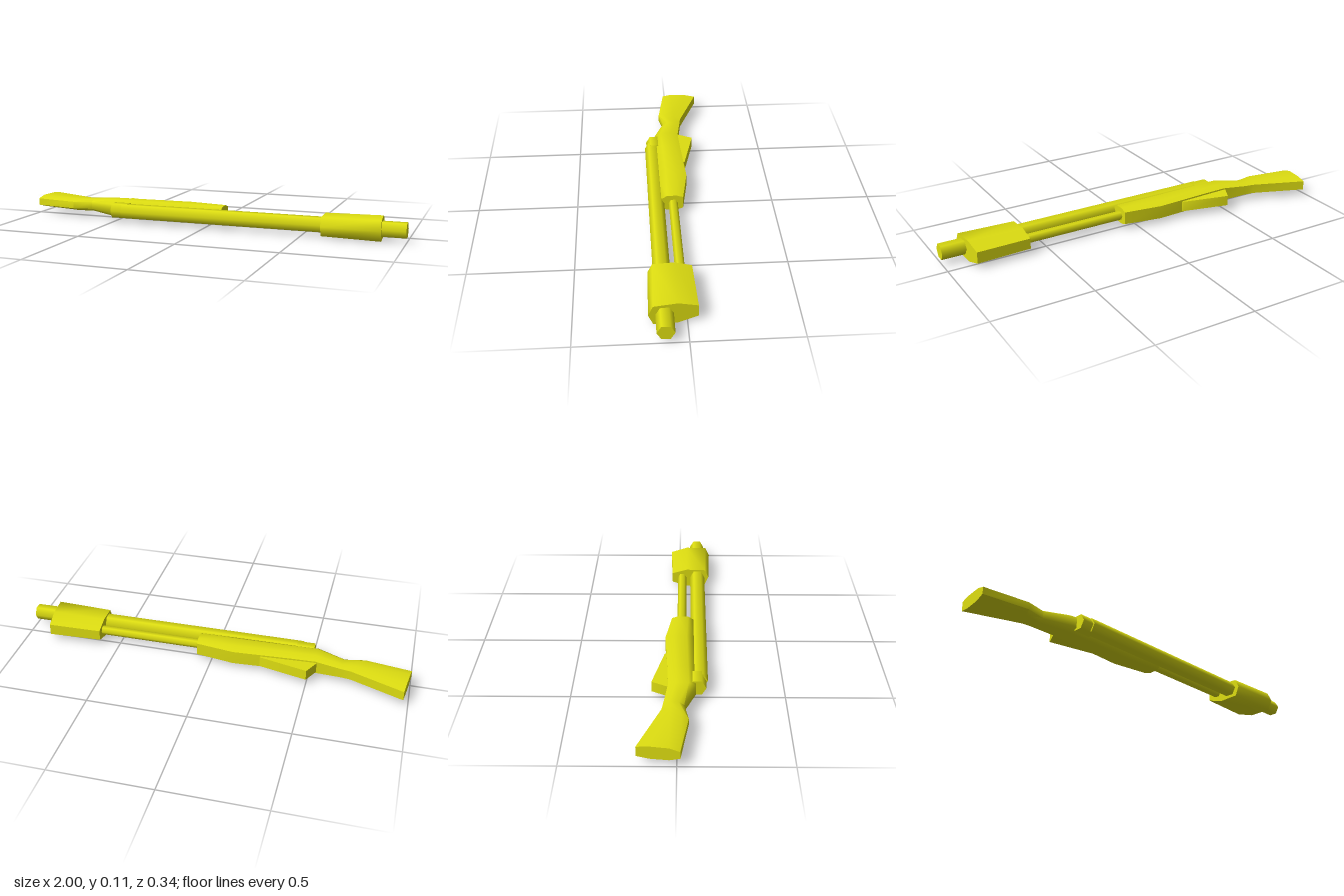
import * as THREE from 'three';
import { toCreasedNormals } from 'three/addons/utils/BufferGeometryUtils.js';

const yellow = new THREE.MeshStandardMaterial({ color: 0xdddd11 });
yellow.name = 'yellow';

// Closed solid through rings of [x, y, z] points, ordered top, front, bottom, back
function loft(rings) {
  const pos = [];
  const tri = (a, b, c) => pos.push(...a, ...b, ...c);
  const n = rings[0].length;
  for (let i = 0; i < rings.length - 1; i++) {
    const A = rings[i], B = rings[i + 1];
    for (let k = 0; k < n; k++) {
      const m = (k + 1) % n;
      tri(A[k], A[m], B[k]);
      tri(A[m], B[m], B[k]);
    }
  }
  const first = rings[0], last = rings[rings.length - 1];
  for (let k = 1; k < n - 1; k++) {
    tri(first[0], first[k + 1], first[k]);
    tri(last[0], last[k], last[k + 1]);
  }
  const g = new THREE.BufferGeometry();
  g.setAttribute('position', new THREE.Float32BufferAttribute(pos, 3));
  return toCreasedNormals(g, 1.12);
}

export function createModel() {
  const model = new THREE.Group();
  model.name = 'toyRifle';

  function add(name, geometry) {
    const mesh = new THREE.Mesh(geometry, yellow);
    mesh.name = name;
    model.add(mesh);
    return mesh;
  }
  function tube(name, radius, x0, x1, y, z) {
    const mesh = add(name, new THREE.CylinderGeometry(radius, radius, x1 - x0, 6));
    mesh.rotation.z = -Math.PI / 2;
    mesh.position.set((x0 + x1) / 2, y, z);
  }

  // Eight-sided body section: u runs back (0) to front (1), v is half height
  const outline = [[0.3, 1], [0.75, 0.97], [1, 0.55], [1, -0.55], [0.75, -0.97], [0.3, -1], [0, -0.75], [0, 0.75]];
  const bodyRing = ([xBack, xFront, zBack, zFront, half]) => outline.map(([u, v]) => [
    xBack + (xFront - xBack) * u, 0.062 + half * v, zBack + (zFront - zBack) * u]);

  // Stock and receiver in one piece: back x, front x, back z, front z, half height
  add('stockAndReceiver', loft([
    [-0.975, -1, -0.172, 0.015, 0.032],
    [-0.71, -0.77, -0.07, 0.05, 0.032],
    [-0.66, -0.67, -0.063, 0.03, 0.033],
    [-0.53, -0.53, -0.045, 0.083, 0.045],
    [-0.4, -0.4, -0.05, 0.08, 0.045],
    [-0.12, -0.12, -0.065, 0.077, 0.045],
    [0.075, 0.075, -0.035, 0.075, 0.043],
  ].map(bodyRing)));

  // Barrel, breech sleeve and the thinner tube behind the barrel
  tube('barrel', 0.04, -0.45, 1, 0.06, 0.1);
  tube('breech', 0.042, -0.51, -0.42, 0.06, 0.09);
  tube('magazineTube', 0.023, 0.05, 0.63, 0.06, 0.015);

  // Chunky muzzle block, slightly flared towards the muzzle
  const block = [[0.112, 0.04], [0.107, 0.15], [0.06, 0.172], [0.008, 0.15], [0.002, 0.04], [0.03, -0.048], [0.088, -0.048]];
  const blockRing = (x, slant, s) => block.map(([y, z]) => [x + slant * (z - 0.06), 0.058 + (y - 0.058) * s, 0.06 + (z - 0.06) * s]);
  add('muzzleBlock', loft([blockRing(0.6, 0.02, 0.92), blockRing(0.88, 0.09, 1)]));

  // Tapered grip wedge on the rear side
  const wedge = (x, z, lo, hi) => [[x, hi, z], [x, hi, 0], [x, lo, 0], [x, lo, z]];
  add('sideGrip', loft([
    wedge(-0.54, -0.045, 0.035, 0.088),
    wedge(-0.5, -0.122, 0.035, 0.088),
    wedge(-0.26, -0.066, 0.035, 0.088),
    wedge(-0.25, -0.05, 0.035, 0.088),
  ]));

  return model;
}
